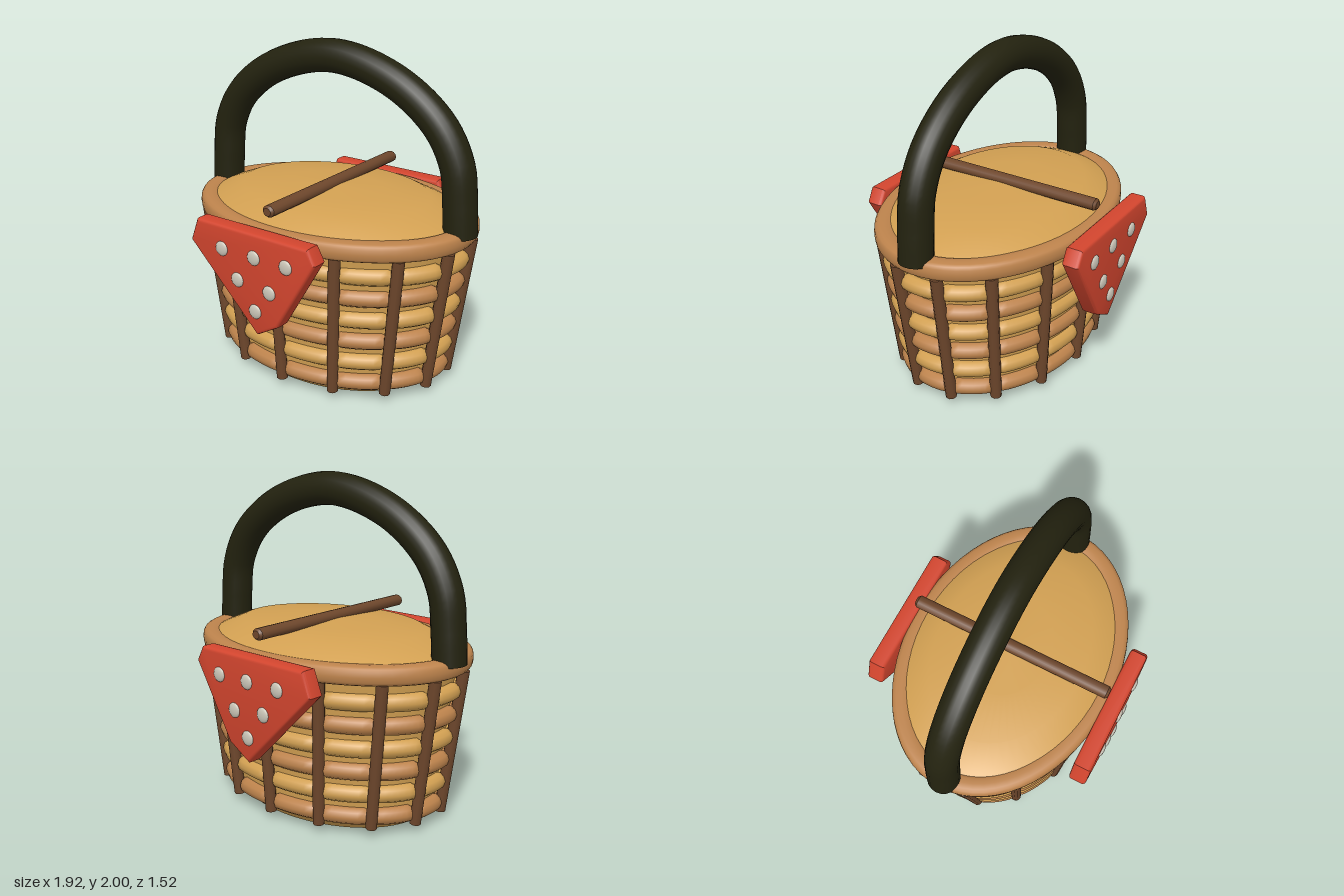
import * as THREE from 'three';
import { toCreasedNormals } from 'three/addons/utils/BufferGeometryUtils.js';

const STAKES = 14;
const mat = (name, color) => {
  const m = new THREE.MeshStandardMaterial({ color });
  m.name = name;
  return m;
};

// Half-widths of the stake ellipse at height y
const stakeA = (y) => 0.753 + 0.145 * y;
const stakeB = (y) => 0.541 + 0.073 * y;

// Closed ring swept round an ellipse; size(phi) returns [half thickness, half height]
function ellipseRing(a, b, y, size, segments, sides, power = 1) {
  const pos = [], index = [];
  const soft = (v) => Math.sign(v) * Math.abs(v) ** power;
  for (let i = 0; i < segments; i++) {
    const phi = (i / segments) * Math.PI * 2;
    const n = new THREE.Vector2(Math.sin(phi) / a, Math.cos(phi) / b).normalize();
    const [w, h] = size(phi);
    for (let j = 0; j < sides; j++) {
      const psi = (j / sides) * Math.PI * 2;
      const out = w * soft(Math.cos(psi));
      pos.push(a * Math.sin(phi) + n.x * out, y + h * soft(Math.sin(psi)), b * Math.cos(phi) + n.y * out);
      const i2 = (i + 1) % segments, j2 = (j + 1) % sides;
      const p = i * sides + j, q = i2 * sides + j, r = i2 * sides + j2, s = i * sides + j2;
      index.push(p, q, r, p, r, s);
    }
  }
  const g = new THREE.BufferGeometry();
  g.setAttribute('position', new THREE.Float32BufferAttribute(pos, 3));
  g.setIndex(index);
  g.computeVertexNormals();
  return g;
}

function ellipseLathe(profile, zScale) {
  const g = new THREE.LatheGeometry(profile.map(([x, y]) => new THREE.Vector2(x, y)), 56);
  return g.scale(1, 1, zScale);
}

export function createModel() {
  const straw = mat('straw', 0xd2a052);
  const cane = mat('cane', 0xbd834c);
  const darkWood = mat('dark wood', 0x6e472c);
  const grip = mat('dark olive grip', 0x23220f);
  const red = mat('red cloth', 0xd2452e);
  const cream = mat('cream dots', 0xcbc6b8);

  const model = new THREE.Group();
  model.name = 'picnicBasket';
  const add = (name, geometry, material, parent = model) => {
    const m = new THREE.Mesh(geometry, material);
    m.name = name;
    parent.add(m);
    return m;
  };

  // Tapered oval body with a bevelled, closed base
  add('body', toCreasedNormals(ellipseLathe([[0, 0], [0.64, 0], [0.71, 0.05], [0.84, 0.98]], 0.71), 0.4), straw);

  // Woven bands, pinched where they pass under the stakes
  const weave = new THREE.Group();
  weave.name = 'weave';
  model.add(weave);
  for (let i = 0; i < 6; i++) {
    const y = 0.11 + i * 0.14;
    const pinch = (phi) => {
      const s = Math.min(1, Math.abs(Math.sin(phi * STAKES / 2)) * 2.5);
      return [0.026 + 0.026 * s, 0.03 + 0.022 * s];
    };
    add('weaveBand', ellipseRing(stakeA(y) - 0.037, stakeB(y) - 0.037, y, pinch, STAKES * 8, 10),
      i % 2 ? straw : cane, weave);
  }

  // Upright stakes around the wall
  const stakes = new THREE.Group();
  stakes.name = 'stakes';
  model.add(stakes);
  for (let i = 0; i < STAKES; i++) {
    const phi = (i / STAKES) * Math.PI * 2;
    const at = (y) => new THREE.Vector3(Math.sin(phi) * stakeA(y), y, Math.cos(phi) * stakeB(y));
    const low = at(0.05), high = at(0.93);
    const dir = high.clone().sub(low);
    const s = add('stake', new THREE.CylinderGeometry(0.036, 0.034, dir.length(), 10), darkWood, stakes);
    s.position.copy(low).lerp(high, 0.5);
    s.quaternion.setFromUnitVectors(new THREE.Vector3(0, 1, 0), dir.normalize());
  }

  // Rim and low domed lid
  add('rim', ellipseRing(0.86, 0.597, 0.973, () => [0.062, 0.056], 64, 16, 0.7), cane);
  add('lid', ellipseLathe([[0.83, 1.01], [0.79, 1.03], [0.62, 1.1], [0.32, 1.117], [0, 1.13]], 0.73), straw);

  // Rounded bar across the lid
  const bar = add('lidBar', new THREE.CapsuleGeometry(0.025, 1.21, 4, 12), darkWood);
  bar.geometry.dispose();
  bar.geometry = toCreasedNormals(new THREE.LatheGeometry(
    [[0, -0.645], [0.027, -0.645], [0.041, -0.63], [0.041, 0.63], [0.027, 0.645], [0, 0.645]]
      .map(([x, y]) => new THREE.Vector2(x, y)), 12), 0.6);
  bar.rotation.x = Math.PI / 2;
  bar.scale.z = 0.86;
  bar.position.set(-0.003, 1.136, 0);

  // Arched handle with closed feet
  const half = [[0.86, 0.99], [0.848, 1.18], [0.82, 1.39], [0.7, 1.6], [0.42, 1.8]];
  const arch = [...half.map(([x, y]) => [-x, y]), [0, 1.902], ...half.slice().reverse()]
    .map(([x, y]) => new THREE.Vector3(x, y, 0));
  const handle = new THREE.Group();
  handle.name = 'handle';
  model.add(handle);
  add('handleArch', new THREE.TubeGeometry(new THREE.CatmullRomCurve3(arch), 64, 0.099, 20), grip, handle);
  for (const side of [-1, 1]) {
    const foot = add('handleFoot', new THREE.CircleGeometry(0.099, 20), grip, handle);
    foot.rotation.x = Math.PI / 2;
    foot.position.set(side * 0.86, 0.99, 0);
  }

  // Spotted cloth corner hanging over the front and back
  const inset = 0.02;
  const outline = [[-0.435, 1.01], [0.335, 1.01], [0.372, 0.942], [0.117, 0.513], [-0.018, 0.434], [-0.48, 0.894]];
  const clothShape = new THREE.Shape(outline.map(([x, y]) => new THREE.Vector2(x, y)));
  const clothGeometry = new THREE.ExtrudeGeometry(clothShape, {
    depth: 0.068, bevelEnabled: true, bevelSize: inset, bevelThickness: 0.02, bevelSegments: 3,
  });
  const spots = [[-0.26, 0.89], [-0.025, 0.89], [0.2, 0.89], [-0.15, 0.725], [0.08, 0.703], [-0.025, 0.56]];
  for (const side of [1, -1]) {
    const cloth = new THREE.Group();
    cloth.name = side > 0 ? 'frontCloth' : 'backCloth';
    model.add(cloth);
    const panel = add('clothPanel', toCreasedNormals(clothGeometry, 0.6), red, cloth);
    panel.position.z = side > 0 ? 0.656 : -0.724;
    for (const [x, y] of spots) {
      const dot = add('clothDot', new THREE.SphereGeometry(0.044, 16, 10), cream, cloth);
      dot.scale.z = 0.35;
      dot.position.set(x, y, side * 0.745);
    }
  }
  return model;
}
